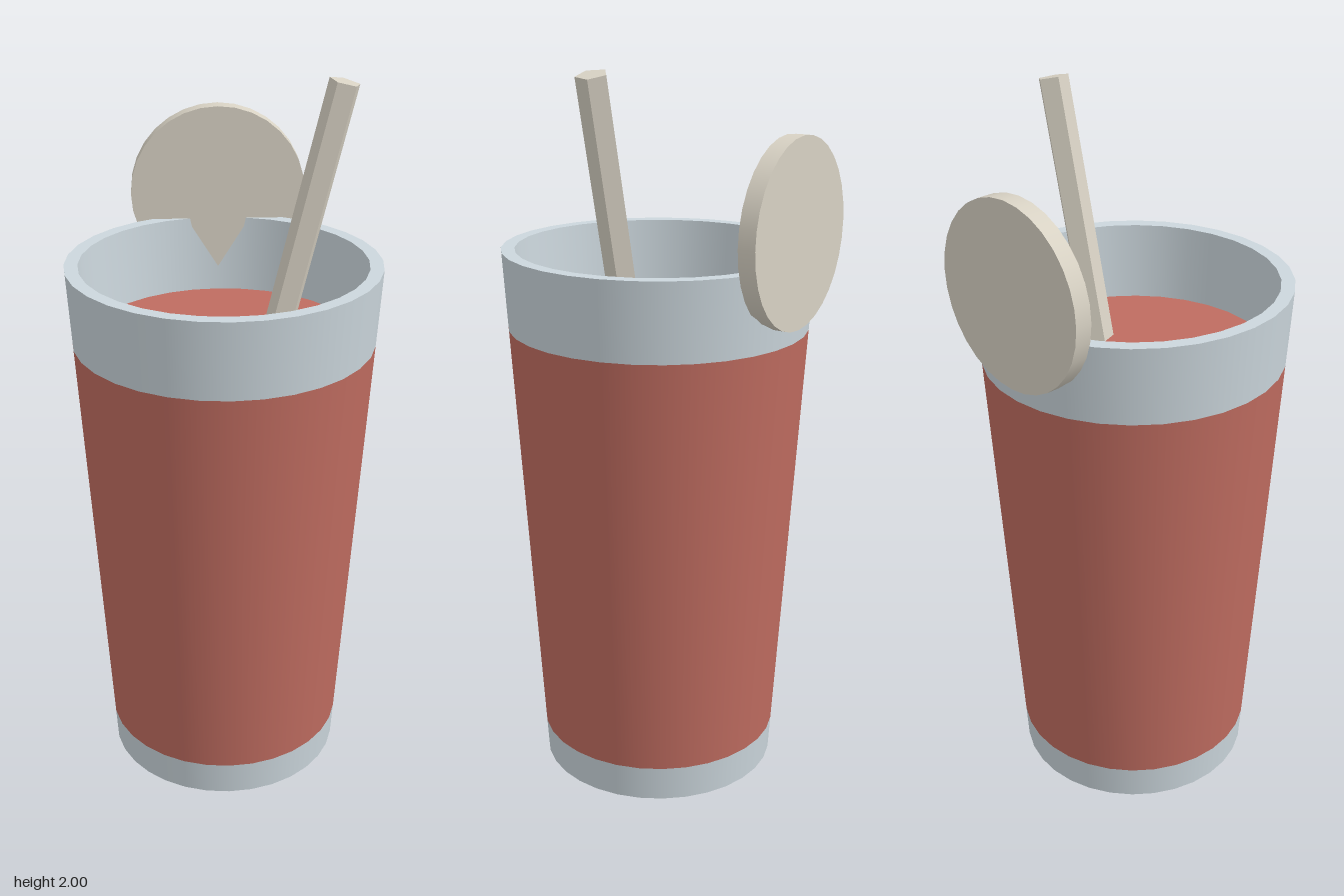
import * as THREE from 'three';

const H = 1.515, SEG = 32;
const outerR = (y) => 0.333 + (0.426 - 0.333) * (y / H);
const innerR = (y) => outerR(y) - 0.037;

export function createModel() {
  const group = new THREE.Group();
  const material = (name, color) => {
    const m = new THREE.MeshStandardMaterial({ color });
    m.name = name;
    return m;
  };
  const glass = material('pale grey', 0xcbd6dc);
  const red = material('drink red', 0xbf6c60);
  const beige = material('beige', 0xd8d2c4);

  const add = (name, geometry, mat) => {
    const mesh = new THREE.Mesh(geometry, mat);
    mesh.name = name;
    group.add(mesh);
    return mesh;
  };
  const lathe = (points) =>
    new THREE.LatheGeometry(points.map(([r, y]) => new THREE.Vector2(r, y)), SEG);
  const wall = (y0, y1) => lathe([[outerR(y0), y0], [outerR(y1), y1]]);

  // Tapered cup wall in three flush bands
  add('cupFoot', wall(0, 0.1), glass);
  add('cupBody', wall(0.1, 1.3), red);
  add('cupCollar', wall(1.3, H), glass);

  // Base, flat rim and inside wall, kept apart for crisp edges
  add('cupBase', lathe([[0, 0], [outerR(0), 0]]), glass);
  add('cupRim', lathe([[outerR(H), H], [innerR(H), H]]), glass);
  add('cupInside', lathe([[innerR(H), H], [innerR(1.29), 1.29]]), glass);

  // Drink surface
  const drink = add('drinkSurface', new THREE.CircleGeometry(innerR(1.3), SEG), red);
  drink.rotation.x = -Math.PI / 2;
  drink.position.y = 1.3;

  // Round slice on the back of the rim
  const slice = add('fruitSlice', new THREE.CylinderGeometry(0.25, 0.25, 0.048, SEG), beige);
  slice.rotation.x = Math.PI / 2;
  slice.position.set(0, 1.59, -0.404);

  // Five-sided straw leaning to the cup's left
  const strawGeo = new THREE.CylinderGeometry(0.0425, 0.0425, 1, 5, 1, false, Math.PI).toNonIndexed();
  strawGeo.computeVertexNormals();
  strawGeo.translate(0, -0.5, 0);
  const straw = add('straw', strawGeo, beige);
  straw.rotation.z = -0.233;
  straw.position.set(0.307, 1.99, 0);

  return group;
}
